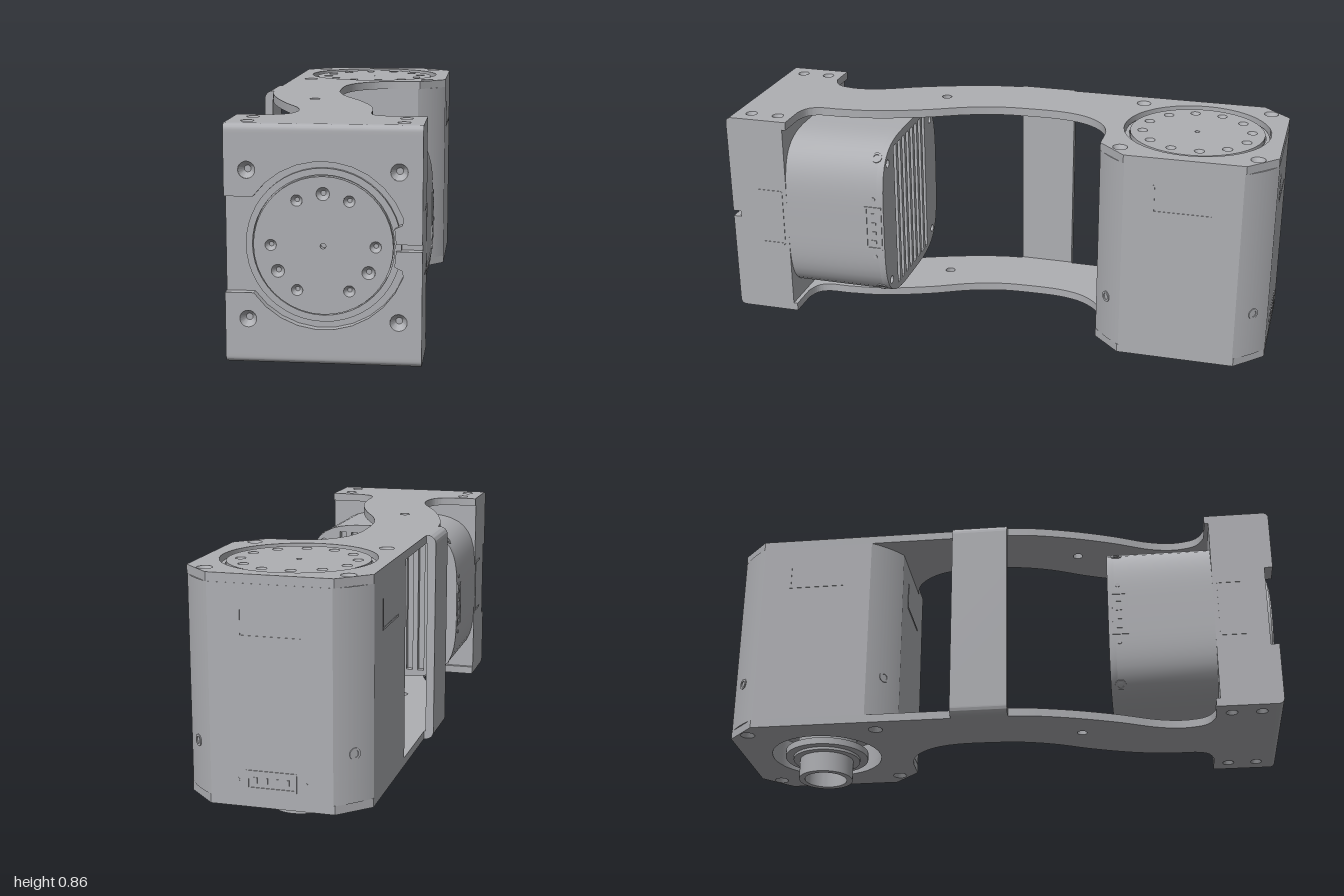
import * as THREE from 'three';
import { toCreasedNormals } from 'three/addons/utils/BufferGeometryUtils.js';

const CX = 0.016, HALF = 0.311, LEFT = CX + HALF, RIGHT = CX - HALF;
const TOP = 0.86, BOTTOM = 0.095, T = 0.03, MID = (TOP + BOTTOM) / 2, REAR_Z = -0.69;

export function createModel() {
  const root = new THREE.Group();
  root.name = 'motorArm';
  const metal = new THREE.MeshStandardMaterial({ color: 0xaeafb3 });
  metal.name = 'greyMetal';

  const add = (parent, name, geo, x = 0, y = 0, z = 0) => {
    const m = new THREE.Mesh(geo, metal);
    m.name = name;
    m.position.set(x, y, z);
    parent.add(m);
    return m;
  };
  const extrude = (shape, depth) => toCreasedNormals(
    new THREE.ExtrudeGeometry(shape, { depth, bevelEnabled: false, curveSegments: 20 }), 0.5);
  // Extrude upwards: shape y becomes -z
  const extrudeUp = (shape, depth) => extrude(shape, depth).rotateX(-Math.PI / 2);
  // Extrude along +x: shape x becomes -z
  const extrudeX = (shape, depth) => extrude(shape, depth).rotateY(Math.PI / 2);
  // Profiles run downwards on inner walls, upwards on outer walls
  const lathe = (pts, sides = 48) => toCreasedNormals(
    new THREE.LatheGeometry(pts.map(p => new THREE.Vector2(...p)), sides), 0.5);
  const countersink = (r, d) => lathe([[r, 0], [r * 0.4, -d], [0, -d]], 20);
  const hole = (shape, x, y, r) => {
    const h = new THREE.Path();
    h.absarc(x, y, r, 0, Math.PI * 2, true);
    shape.holes.push(h);
  };
  const polygon = (pts, C = THREE.Shape) => new C(pts.map(p => new THREE.Vector2(...p)));
  const rect = (x0, y0, x1, y1, C) => polygon([[x0, y0], [x1, y0], [x1, y1], [x0, y1]], C);

  // Square with arc corners, the rear motor cross-section
  const squareShape = () => {
    const s = new THREE.Shape(), R = 0.373, a = Math.acos(HALF / R);
    for (let k = 0; k < 4; k++) {
      const q = k * Math.PI / 2;
      s.absarc(0, 0, R, q + a, q + Math.PI / 2 - a, false);
    }
    s.closePath();
    return s;
  };
  // Square with gently bowed sides, the front motor cross-section
  const bowedShape = () => polygon(Array.from({ length: 72 }, (_, i) => {
    const a = i * Math.PI / 36, c = Math.cos(a), s = Math.sin(a), r = HALF / Math.pow(c ** 4 + s ** 4, 0.25);
    return [r * c, r * s];
  }));

  // Output disc with a ring of countersunk holes
  const addDisc = (parent, y, r, depth, ringR, holes) => {
    const s = new THREE.Shape();
    s.absarc(0, 0, r, 0, Math.PI * 2, false);
    hole(s, 0, 0, 0.009);
    for (const [deg, hr] of holes) {
      const a = deg * Math.PI / 180, x = Math.cos(a) * ringR, z = Math.sin(a) * ringR;
      hole(s, x, z, hr);
      add(parent, 'discScrewHole', countersink(hr, depth - 0.004), x, y + depth, -z);
    }
    add(parent, 'outputDisc', extrudeUp(s, depth), 0, y, 0);
  };

  // Sockets on the motor corners and connectors on two sides
  const motorDetails = (g, screwY, screwR, plugY) => {
    for (let k = 0; k < 4; k++) {
      const pivot = new THREE.Group();
      pivot.name = 'cornerScrew';
      pivot.rotation.y = Math.PI / 4 + k * Math.PI / 2;
      g.add(pivot);
      const geo = lathe([[0.02, 0], [0.02, 0.004], [0.012, 0.004], [0.012, 0]], 20).rotateZ(-Math.PI / 2);
      add(pivot, 'screwRim', geo, screwR, screwY, 0);
    }
    for (const turn of [0, Math.PI]) {
      const side = new THREE.Group();
      side.name = 'connector';
      side.rotation.y = turn;
      g.add(side);
      const frame = rect(-0.085, 0, 0.085, 0.065);
      frame.holes.push(rect(-0.077, 0.008, 0.077, 0.057, THREE.Path));
      add(side, 'connectorFrame', extrudeX(frame, 0.004), HALF - 0.001, plugY, 0);
      for (let i = 0; i < 4; i++) {
        add(side, 'connectorPin', new THREE.BoxGeometry(0.006, 0.02, 0.012), HALF, plugY + 0.032, -0.054 + i * 0.036);
      }
      for (const z of [-0.115, 0.115]) {
        add(side, 'connectorScrew', new THREE.CylinderGeometry(0.008, 0.008, 0.006, 12).rotateZ(Math.PI / 2), HALF - 0.002, plugY + 0.03, z);
      }
    }
  };

  // Arm plates: plan outline given as x, z
  const plate = (bigHole) => {
    const s = new THREE.Shape();
    const L = (x, z) => s.lineTo(x, -z);
    const curve = (pts) => s.splineThru(pts.map(([x, z]) => new THREE.Vector2(x, -z)));
    s.moveTo(RIGHT, -0.97);
    L(LEFT, 0.97); L(LEFT, 0.765); L(0.21, 0.765);
    curve([[0.16, 0.745], [0.138, 0.7], [0.135, 0.62], [0.115, 0.48], [0.06, 0.32], [-0.005, 0.18],
      [-0.04, 0.06], [-0.05, -0.05], [-0.048, -0.18], [-0.02, -0.275], [0.04, -0.345], [0.11, -0.375], [0.18, -0.38]]);
    L(0.23, -0.38); L(LEFT, -0.48); L(LEFT, -0.9); L(0.225, -1); L(-0.195, -1); L(RIGHT, -0.9); L(RIGHT, 0.03);
    curve([[-0.282, 0.13], [-0.245, 0.27], [-0.19, 0.42], [-0.13, 0.55], [-0.11, 0.64], [-0.12, 0.71], [-0.145, 0.745], [-0.19, 0.765]]);
    L(RIGHT, 0.765);
    s.closePath();
    hole(s, CX, -REAR_Z, bigHole);
    hole(s, -0.105, -0.285, 0.018);
    for (const d of [-1, 1]) {
      for (const z of [-0.93, -0.455]) hole(s, CX + d * 0.238, -z, 0.026);
      for (const z of [0.82, 0.925]) hole(s, CX + d * 0.247, -z, 0.021);
    }
    return extrudeUp(s, T);
  };
  add(root, 'topPlate', plate(0.262), 0, TOP - T, 0);
  add(root, 'bottomPlate', plate(0.205), 0, BOTTOM, 0);
  for (const d of [-1, 1]) {
    for (const [x, z, r] of [[0.238, -0.93, 0.026], [0.238, -0.455, 0.026], [0.247, 0.82, 0.021], [0.247, 0.925, 0.021]]) {
      add(root, 'topScrewHole', countersink(r, 0.026), CX + d * x, TOP, z);
      add(root, 'bottomScrewHole', countersink(r, 0.026).rotateX(Math.PI), CX + d * x, BOTTOM, z);
    }
  }

  // Front bracket: rounded edges and the two halves of the slotted face
  const faceY = MID - BOTTOM, inner = faceY - T, round = 0.02;
  for (const d of [-1, 1]) {
    const edge = [[-0.97, inner], [-0.97, faceY]];
    for (let i = 0; i <= 6; i++) {
      const a = Math.PI / 2 + i * Math.PI / 12;
      edge.push([-1 + round + round * Math.cos(a), faceY - round + round * Math.sin(a)]);
    }
    edge.push([-1, inner]);
    add(root, d > 0 ? 'topBend' : 'bottomBend', extrudeX(polygon(edge.map(([x, y]) => [x, y * d])), HALF * 2), RIGHT, MID, 0);

    const pts = [[RIGHT, inner], [LEFT, inner], [LEFT, 0.011], [0.245, 0.011], [0.24, 0.06], [0.264, 0.072]];
    for (let i = 0; i <= 10; i++) {
      const a = (20 + i * 12.5) * Math.PI / 180;
      pts.push([CX + 0.268 * Math.cos(a), 0.268 * Math.sin(a)]);
    }
    pts.push([RIGHT, 0.154]);
    const s = polygon(pts.map(([x, y]) => [x, y * d]));
    for (const e of [-1, 1]) {
      hole(s, CX + e * 0.238, 0.238 * d, 0.027);
      add(root, 'faceScrewHole', countersink(0.027, 0.026).rotateX(Math.PI / 2), CX + e * 0.238, MID + 0.238 * d, 1);
    }
    add(root, d > 0 ? 'upperFacePlate' : 'lowerFacePlate', extrude(s, T), 0, MID, 0.97);
  }
  add(root, 'mountBlock', new THREE.BoxGeometry(HALF * 2, inner * 2, 0.19), CX, MID, 0.875);
  for (const d of [-1, 1]) {
    add(root, 'blockLatchLong', new THREE.BoxGeometry(0.004, 0.21, 0.008), CX + d * HALF, MID, 0.8);
    for (const e of [-1, 1]) {
      add(root, 'blockLatchEnd', new THREE.BoxGeometry(0.004, 0.008, 0.09), CX + d * HALF, MID + e * 0.105, 0.845);
    }
  }

  // Side strut with rounded outer bends
  const strut = new THREE.Shape();
  strut.moveTo(-0.29, BOTTOM);
  strut.lineTo(-0.3, BOTTOM);
  strut.absarc(-0.3, BOTTOM + T, T, -Math.PI / 2, -Math.PI, true);
  strut.absarc(-0.3, TOP - T, T, Math.PI, Math.PI / 2, true);
  for (const [x, y] of [[-0.29, TOP], [-0.29, TOP - T], [-0.3, TOP - T], [-0.3, BOTTOM + T], [-0.29, BOTTOM + T]]) strut.lineTo(x, y);
  add(root, 'sideStrut', extrude(strut, 0.205), 0, 0, -0.17);

  // Front motor, its axis turned towards the front
  const front = new THREE.Group();
  front.name = 'frontMotor';
  front.position.set(CX, MID, 0.4);
  front.rotation.x = Math.PI / 2;
  root.add(front);
  add(front, 'motorBody', extrudeUp(bowedShape(), 0.36), 0, 0.025, 0);
  const cover = bowedShape();
  for (let i = 0; i < 8; i++) {
    const x = -0.165 + i * 0.047;
    cover.holes.push(rect(x - 0.013, -0.28, x + 0.013, 0.28, THREE.Path));
  }
  for (const x of [-0.245, 0.245]) for (const y of [-0.235, 0.235]) hole(cover, x, y, 0.015);
  add(front, 'finnedCover', extrudeUp(cover, 0.025));
  add(front, 'bearingRing', lathe([[0.245, 0], [0.245, 0.015], [0.224, 0.015], [0.224, 0]]), 0, 0.57, 0);
  const frontHoles = [0, 60, 90, 120, 180, 210, 240, 300, 330].map(a => [a, a % 60 ? 0.021 : 0.018]);
  addDisc(front, 0.57, 0.22, 0.022, 0.165, frontHoles);
  motorDetails(front, 0.035, 0.368, 0.008);

  // Rear motor standing upright
  const rear = new THREE.Group();
  rear.name = 'rearMotor';
  rear.position.set(CX, BOTTOM + T, REAR_Z);
  rear.rotation.y = Math.PI / 2;
  root.add(rear);
  add(rear, 'motorBody', extrudeUp(squareShape(), 0.625), 0, 0.08, 0);
  const skirt = squareShape();
  hole(skirt, 0, 0, 0.205);
  add(rear, 'motorSkirt', extrudeUp(skirt, 0.08));
  add(rear, 'bearingRing', lathe([[0.256, 0], [0.256, 0.012], [0.243, 0.012], [0.243, 0]]), 0, 0.705, 0);
  addDisc(rear, 0.705, 0.24, 0.024, 0.195, Array.from({ length: 12 }, (_, i) => [i * 30 + 10, 0.018]));
  motorDetails(rear, 0.165, 0.372, 0.03);
  for (let k = 0; k < 4; k++) {
    const side = new THREE.Group();
    side.name = 'sideLatch';
    side.rotation.y = k * Math.PI / 2;
    rear.add(side);
    add(side, 'latchEdge', new THREE.BoxGeometry(0.004, 0.008, 0.205), HALF, 0.535, 0);
    add(side, 'latchSide', new THREE.BoxGeometry(0.004, 0.1, 0.006), HALF, 0.585, 0.1);
  }

  // Hollow shaft with stepped flange under the rear motor
  add(root, 'hollowShaft', lathe([[0.078, 0.205], [0.078, 0], [0.1, 0], [0.1, 0.075], [0.125, 0.075], [0.125, 0.085],
    [0.155, 0.085], [0.155, 0.11], [0.11, 0.11], [0.11, 0.205]]), CX, 0, REAR_Z);

  return root;
}
